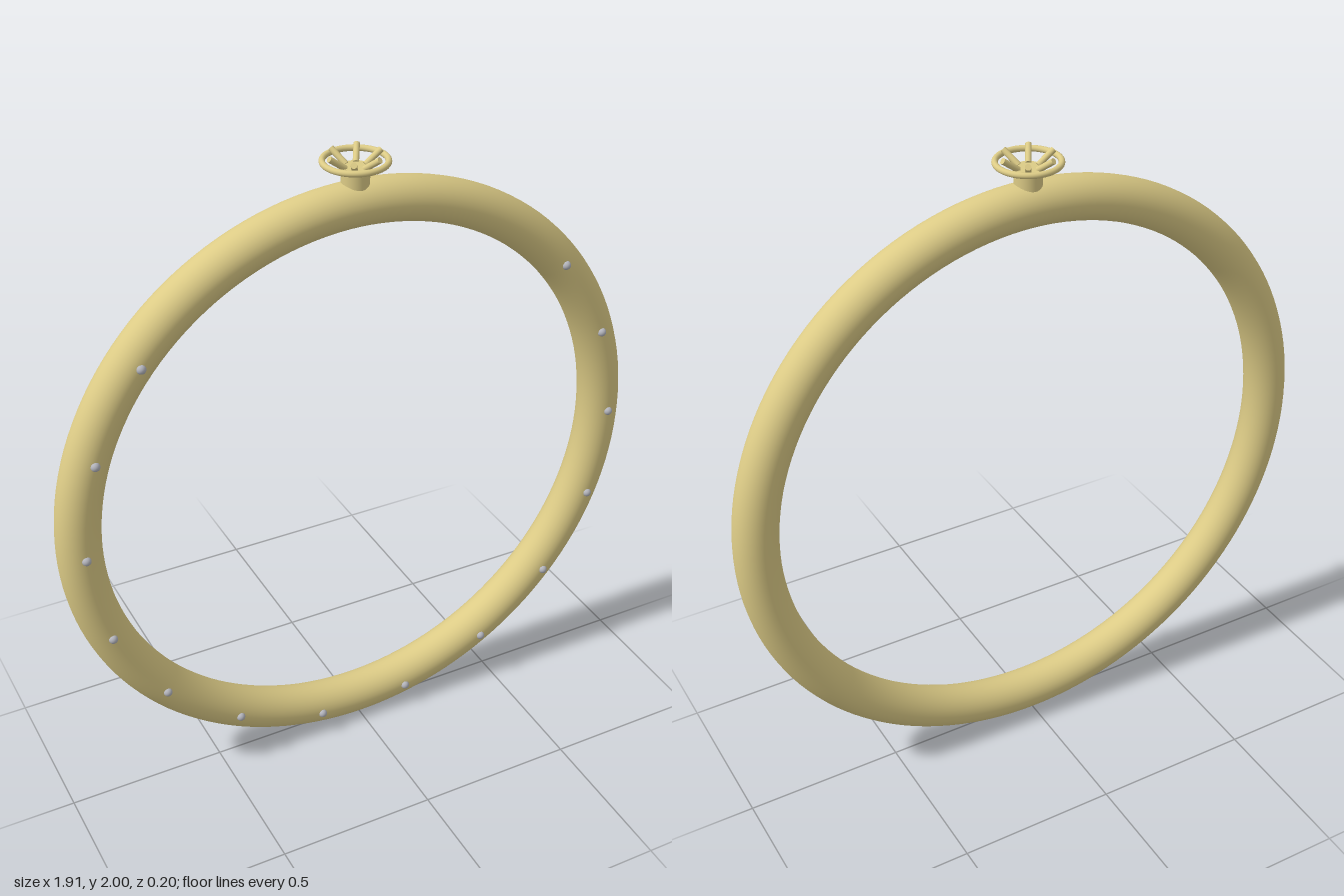
import * as THREE from 'three';

const RING_Y = 0.957, RING_R = 0.89, TUBE_R = 0.067;

export function createModel() {
  const model = new THREE.Group();
  const gold = new THREE.MeshStandardMaterial({ color: 0xdccb86 });
  gold.name = 'pale gold';
  const silver = new THREE.MeshStandardMaterial({ color: 0xb4b5bd });
  silver.name = 'silver';

  const add = (name, geometry, material, parent = model) => {
    const mesh = new THREE.Mesh(geometry, material);
    mesh.name = name;
    parent.add(mesh);
    return mesh;
  };

  // Large upright ring
  add('ring', new THREE.TorusGeometry(RING_R, TUBE_R, 32, 144), gold).position.y = RING_Y;

  // Studs on the front, every 20 degrees, leaving the top of the ring bare
  const studs = new THREE.Group();
  studs.name = 'studs';
  model.add(studs);
  const studGeometry = new THREE.SphereGeometry(0.014, 20, 14);
  for (let deg = 140; deg <= 400; deg += 20) {
    const a = THREE.MathUtils.degToRad(deg);
    add('stud', studGeometry, silver, studs)
      .position.set(RING_R * Math.cos(a), RING_Y + RING_R * Math.sin(a), 0.065);
  }

  // Short neck on top of the ring
  add('neck', new THREE.CylinderGeometry(0.041, 0.041, 0.065, 40), gold).position.y = 1.925;

  // Crown: a flat hoop held by six sloping prongs
  const crown = new THREE.Group();
  crown.name = 'crown';
  model.add(crown);
  const hoop = add('crownHoop', new THREE.TorusGeometry(0.092, 0.009, 16, 64), gold, crown);
  hoop.rotation.x = Math.PI / 2;
  hoop.position.y = 1.973;

  const up = new THREE.Vector3(0, 1, 0);
  for (let i = 0; i < 6; i++) {
    const a = i * Math.PI / 3;
    const at = (r, y) => new THREE.Vector3(r * Math.cos(a), y, r * Math.sin(a));
    const low = at(0.031, 1.956), high = at(0.08, 1.992);
    const axis = high.clone().sub(low);
    const prong = add('prong', new THREE.CylinderGeometry(0.009, 0.009, axis.length(), 16), gold, crown);
    prong.position.copy(low).add(high).multiplyScalar(0.5);
    prong.quaternion.setFromUnitVectors(up, axis.normalize());
  }
  return model;
}
